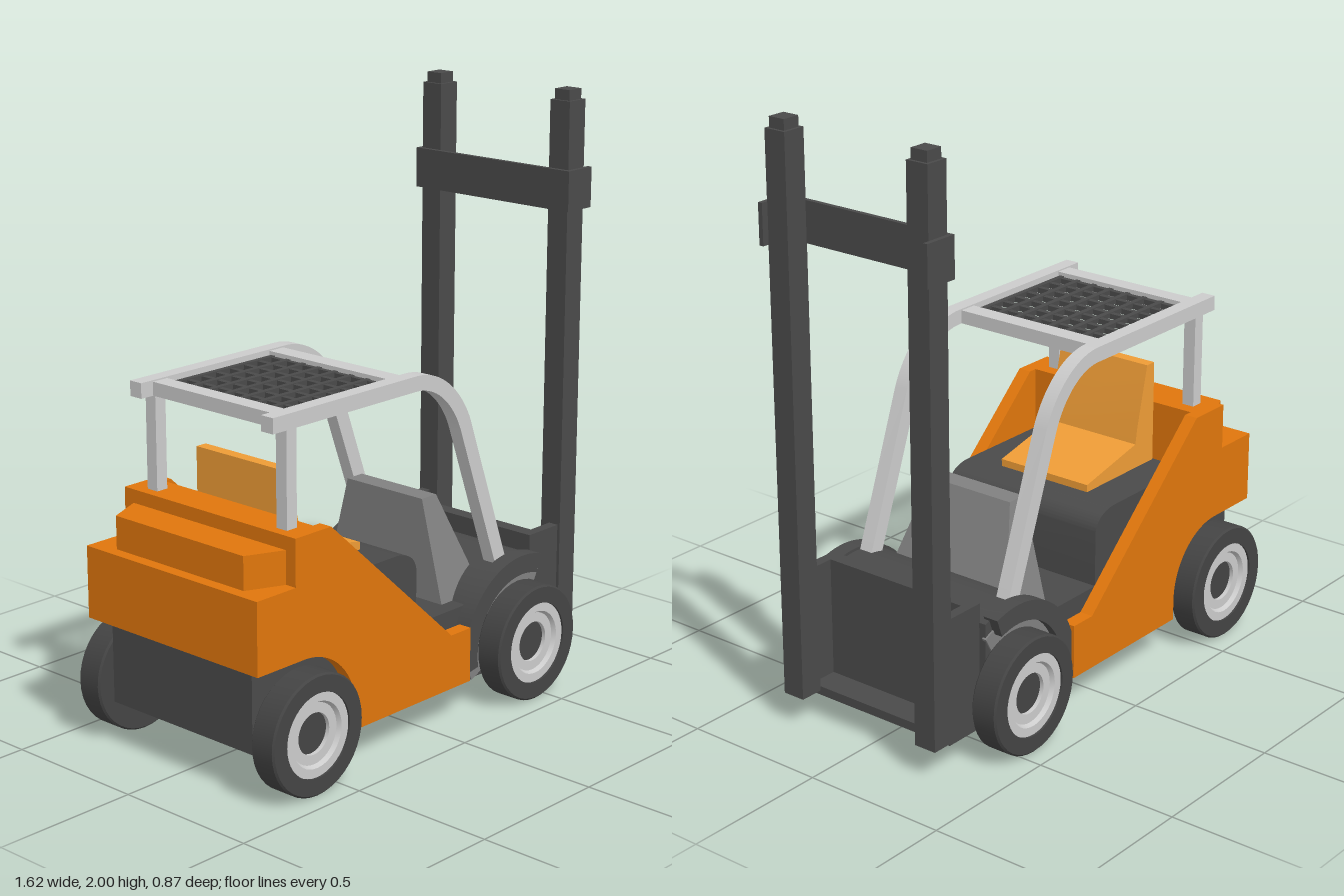
import * as THREE from 'three';
import { mergeVertices, toCreasedNormals } from 'three/addons/utils/BufferGeometryUtils.js';

const mat = (color) => new THREE.MeshStandardMaterial({ color });
const ORANGE = mat(0xe0760c), SEAT = mat(0xee9c36), DARK = mat(0x4a4a4a);
const GREY = mat(0x808080), LIGHT = mat(0xcccccc), RUBBER = mat(0x444444);
const FRONT_AXLE = 0.445, REAR_AXLE = -0.61, AXLE_Y = 0.2;

export function createModel() {
  const model = new THREE.Group();

  const add = (name, geometry, material, parent = model) => {
    const mesh = new THREE.Mesh(geometry, material);
    mesh.name = name;
    parent.add(mesh);
    return mesh;
  };

  // Box given by its limits on each axis
  const box = (name, material, [x0, x1], [y0, y1], [z0, z1]) => {
    const mesh = add(name, new THREE.BoxGeometry(x1 - x0, y1 - y0, Math.abs(z1 - z0)), material);
    mesh.position.set((x0 + x1) / 2, (y0 + y1) / 2, (z0 + z1) / 2);
    return mesh;
  };

  // Side profile (x, y) extruded from z0 to z1
  const slab = (name, material, shape, z0, z1) => {
    const geometry = new THREE.ExtrudeGeometry(shape, {
      depth: Math.abs(z1 - z0), bevelEnabled: false, curveSegments: 20,
    });
    geometry.translate(0, 0, Math.min(z0, z1));
    return add(name, toCreasedNormals(geometry, 0.5), material);
  };

  const polygon = (points) => new THREE.Shape(points.map(([x, y]) => new THREE.Vector2(x, y)));

  // Part of a ring around the front axle, angles in degrees
  const archShape = (inner, outer, from, to) => {
    const a = THREE.MathUtils.degToRad(from), b = THREE.MathUtils.degToRad(to);
    const shape = new THREE.Shape();
    shape.absarc(FRONT_AXLE, AXLE_Y, outer, a, b, false);
    shape.absarc(FRONT_AXLE, AXLE_Y, inner, b, a, true);
    return shape;
  };

  // Counterweight in three steps
  box('counterweight', ORANGE, [-0.81, -0.52], [0.43, 0.67], [-0.375, 0.375]);
  const step = polygon([[-0.77, -0.28], [-0.645, -0.335], [-0.56, -0.335], [-0.56, 0.335], [-0.645, 0.335], [-0.77, 0.28]]);
  const stepGeometry = new THREE.ExtrudeGeometry(step, { depth: 0.12, bevelEnabled: false });
  stepGeometry.rotateX(-Math.PI / 2).translate(0, 0.66, 0);
  add('counterweightStep', stepGeometry, ORANGE);
  box('rearHood', ORANGE, [-0.645, -0.52], [0.66, 0.825], [-0.375, 0.375]);

  // Chassis, belly and floor
  box('rearChassis', DARK, [-0.77, -0.38], [0.15, 0.45], [-0.31, 0.31]);
  box('belly', ORANGE, [-0.38, 0.17], [0.13, 0.16], [-0.375, 0.375]);
  box('floor', DARK, [-0.38, 0.3], [0.15, 0.365], [-0.31, 0.31]);

  // Seat box with a rounded front edge
  const seatBox = new THREE.Shape();
  seatBox.moveTo(-0.53, 0.3);
  seatBox.lineTo(-0.025, 0.3);
  seatBox.lineTo(-0.025, 0.55);
  seatBox.bezierCurveTo(-0.03, 0.59, -0.06, 0.615, -0.12, 0.62);
  seatBox.lineTo(-0.53, 0.62);
  slab('seatBox', DARK, seatBox, -0.31, 0.31);
  slab('seatBack', SEAT, polygon([[-0.515, 0.61], [-0.4, 0.61], [-0.425, 0.76], [-0.475, 0.97], [-0.515, 0.97]]), -0.18, 0.18);
  slab('seatCushion', SEAT, polygon([[-0.44, 0.615], [-0.15, 0.615], [-0.15, 0.645], [-0.44, 0.71]]), -0.18, 0.18);

  // Front body with a rounded top
  const nose = new THREE.Shape();
  nose.moveTo(0.215, 0.11);
  nose.lineTo(0.56, 0.11);
  nose.absarc(FRONT_AXLE, AXLE_Y, 0.28, 1.15, Math.PI, false);
  nose.lineTo(0.165, 0.15);
  nose.lineTo(0.215, 0.15);
  slab('frontBody', DARK, nose, -0.33, 0.33);

  // Dashboard: box narrowed towards the top and sloped at the front
  const dash = new THREE.BoxGeometry(1, 1, 1);
  const p = dash.attributes.position;
  for (let i = 0; i < p.count; i++) {
    const top = p.getY(i) > 0;
    const x = p.getX(i) < 0 ? 0.165 : top ? 0.235 : 0.37;
    p.setXYZ(i, x, top ? 0.71 : 0.36, Math.sign(p.getZ(i)) * (top ? 0.165 : 0.255));
  }
  dash.computeVertexNormals();
  add('dashboard', dash, GREY);

  // Side panel cut out around the rear wheel
  const panel = new THREE.Shape();
  panel.moveTo(-0.645, 0.825);
  panel.lineTo(-0.645, 0.43);
  panel.lineTo(REAR_AXLE, 0.43);
  panel.absarc(REAR_AXLE, AXLE_Y, 0.23, Math.PI / 2, 0, true);
  for (const [x, y] of [[-0.38, 0.13], [0.17, 0.13], [0.17, 0.315], [0.075, 0.315], [-0.49, 0.825]]) panel.lineTo(x, y);

  // Roof rail: straight top, bend, sloping front leg
  const rail = new THREE.Shape();
  rail.moveTo(-0.67, 1.14);
  rail.lineTo(-0.03, 1.14);
  rail.bezierCurveTo(0.07, 1.14, 0.15, 1.06, 0.185, 0.97);
  rail.lineTo(0.38, 0.44);
  rail.lineTo(0.435, 0.44);
  rail.lineTo(0.235, 0.99);
  rail.bezierCurveTo(0.19, 1.1, 0.09, 1.19, -0.03, 1.19);
  rail.lineTo(-0.67, 1.19);

  for (const s of [1, -1]) {
    const side = s > 0 ? 'left' : 'right';
    slab(side + 'SidePanel', ORANGE, panel, s * 0.328, s * 0.375);
    slab(side + 'Fender', DARK, archShape(0.225, 0.29, 70, 190), s * 0.31, s * 0.365);
    slab(side + 'ArchLiner', GREY, archShape(0.1, 0.24, 60, 203), s * 0.32, s * 0.336);
    slab(side + 'RoofRail', LIGHT, rail, s * 0.26, s * 0.31);
    box(side + 'RoofPost', LIGHT, [-0.61, -0.567], [0.8, 1.15], [s * 0.262, s * 0.306]);

    // Mast
    box(side + 'MastRail', DARK, [0.705, 0.787], [0.105, 1.965], [s * 0.235, s * 0.315]);
    box(side + 'InnerMastRail', DARK, [0.715, 0.777], [1.9, 2], [s * 0.245, s * 0.305]);
    box(side + 'MastBracket', DARK, [0.69, 0.81], [1.605, 1.74], [s * 0.314, s * 0.33]);
    box(side + 'CarriageCheek', DARK, [0.56, 0.705], [0.09, 0.52], [s * 0.27, s * 0.305]);
  }

  // Mast cross members and lower carriage
  box('mastCrossbar', DARK, [0.69, 0.706], [1.605, 1.74], [-0.33, 0.33]);
  box('carriagePlate', DARK, [0.555, 0.605], [0.09, 0.52], [-0.305, 0.305]);
  box('carriageFloor', DARK, [0.56, 0.705], [0.09, 0.12], [-0.305, 0.305]);

  // Roof cross members and mesh
  box('rearRoofBar', LIGHT, [-0.62, -0.56], [1.14, 1.185], [-0.262, 0.262]);
  box('frontRoofBar', LIGHT, [-0.105, -0.042], [1.14, 1.185], [-0.262, 0.262]);
  for (let i = 0; i < 8; i++) {
    const x = -0.55 + i * 0.0625, z = -0.245 + i * 0.07;
    box('roofMeshCross', DARK, [x - 0.009, x + 0.009], [1.152, 1.17], [-0.255, 0.255]);
    box('roofMeshBar', DARK, [-0.56, -0.104], [1.155, 1.173], [z - 0.009, z + 0.009]);
  }

  // Wheels: lathe profiles (radius, distance along the axle)
  const lathe = (points) => {
    const geometry = new THREE.LatheGeometry(points.map(([r, d]) => new THREE.Vector2(r, d)), 40);
    geometry.rotateX(Math.PI / 2);
    geometry.deleteAttribute('uv');
    geometry.deleteAttribute('normal');
    return toCreasedNormals(mergeVertices(geometry), 0.6);
  };
  const tyre = lathe([[0, 0], [0.192, 0], [0.198, 0.006], [0.198, 0.089], [0.192, 0.095], [0.138, 0.095], [0.138, 0.06]]);
  const rim = lathe([[0.138, 0.06], [0.138, 0.088], [0.108, 0.088], [0.1, 0.074], [0.068, 0.074], [0.068, 0.055]]);
  const hub = lathe([[0.07, 0.05], [0.07, 0.06], [0, 0.06]]);
  for (const [end, x] of [['front', FRONT_AXLE], ['rear', REAR_AXLE]]) {
    for (const s of [1, -1]) {
      const wheel = new THREE.Group();
      wheel.name = end + (s > 0 ? 'Left' : 'Right') + 'Wheel';
      add('tyre', tyre, RUBBER, wheel);
      add('rim', rim, LIGHT, wheel);
      add('hub', hub, RUBBER, wheel);
      wheel.position.set(x, AXLE_Y, s * 0.34);
      if (s < 0) wheel.rotation.y = Math.PI;
      model.add(wheel);
    }
    const axle = add(end + 'Axle', new THREE.CylinderGeometry(0.05, 0.05, 0.7, 20), DARK);
    axle.rotation.x = Math.PI / 2;
    axle.position.set(x, AXLE_Y, 0);
  }

  return model;
}
